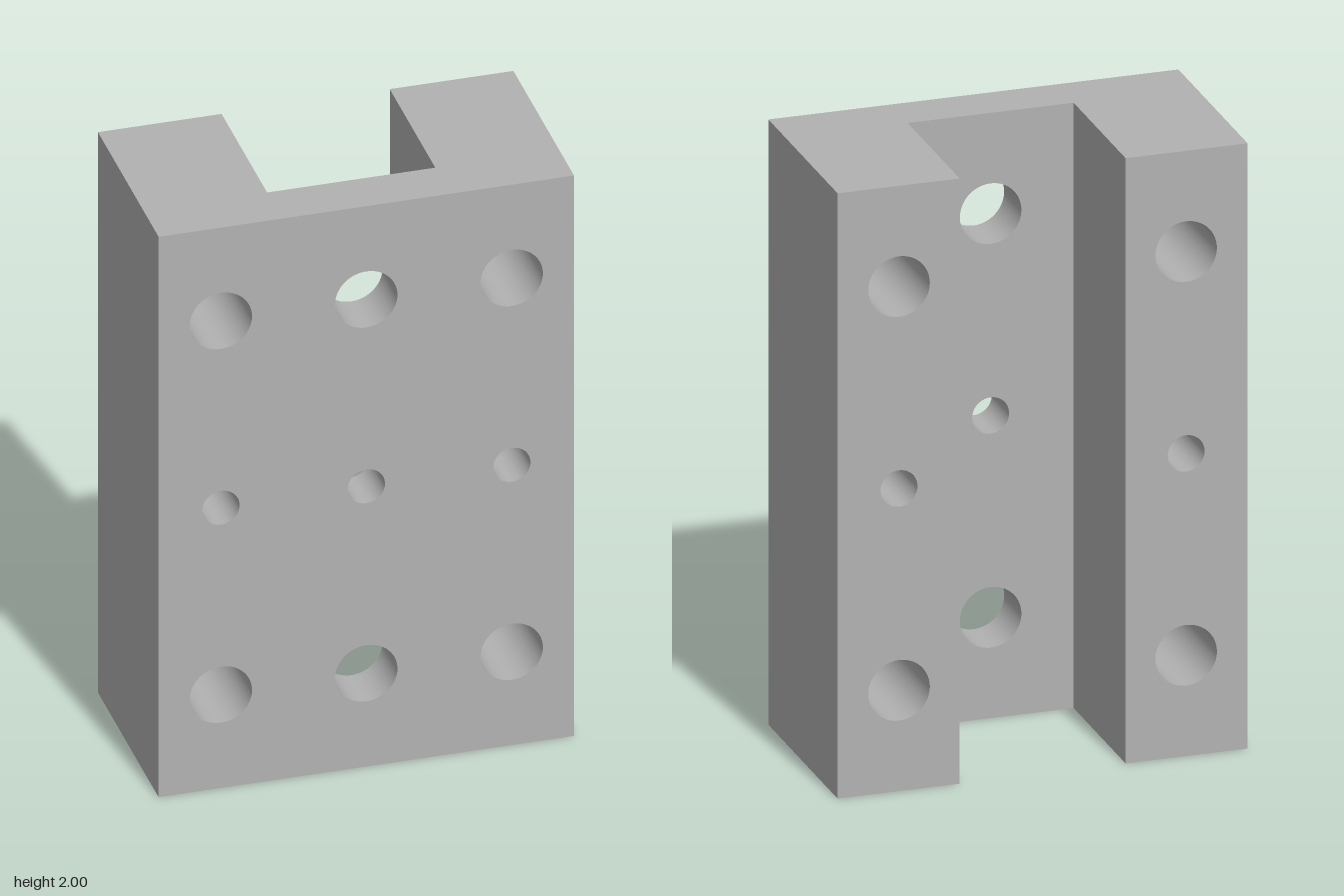
import * as THREE from 'three';

const HEIGHT = 2, HALF_W = 0.667, HALF_D = 0.333;
const INNER_X = 0.27;   // half width of the rear channel
const WEB_DEPTH = 0.166; // thickness of the plate between the two rails
const HOLE_X = 0.467;
const HOLES = [[0.333, 0.1], [1, 0.06], [1.667, 0.1]]; // height, radius

// Upright block from x0 to x1 with a column of through holes, front at z = HALF_D
function drilledBlock(name, x0, x1, holeX, depth, material) {
  const shape = new THREE.Shape();
  shape.moveTo(x0, 0);
  shape.lineTo(x1, 0);
  shape.lineTo(x1, HEIGHT);
  shape.lineTo(x0, HEIGHT);
  shape.closePath();
  for (const [y, r] of HOLES) {
    const hole = new THREE.Path();
    hole.absarc(holeX, y, r, 0, Math.PI * 2, true);
    shape.holes.push(hole);
  }
  const geometry = new THREE.ExtrudeGeometry(shape, { depth, bevelEnabled: false, curveSegments: 48 });
  geometry.translate(0, 0, HALF_D - depth);
  const mesh = new THREE.Mesh(geometry, material);
  mesh.name = name;
  return mesh;
}

export function createModel() {
  const grey = new THREE.MeshStandardMaterial({ color: 0xb2b2b2 });
  grey.name = 'plain grey';

  const bracket = new THREE.Group();
  bracket.name = 'channelBracket';
  bracket.add(
    drilledBlock('rightRail', -HALF_W, -INNER_X, -HOLE_X, HALF_D * 2, grey),
    drilledBlock('frontWeb', -INNER_X, INNER_X, 0, WEB_DEPTH, grey),
    drilledBlock('leftRail', INNER_X, HALF_W, HOLE_X, HALF_D * 2, grey),
  );
  return bracket;
}
